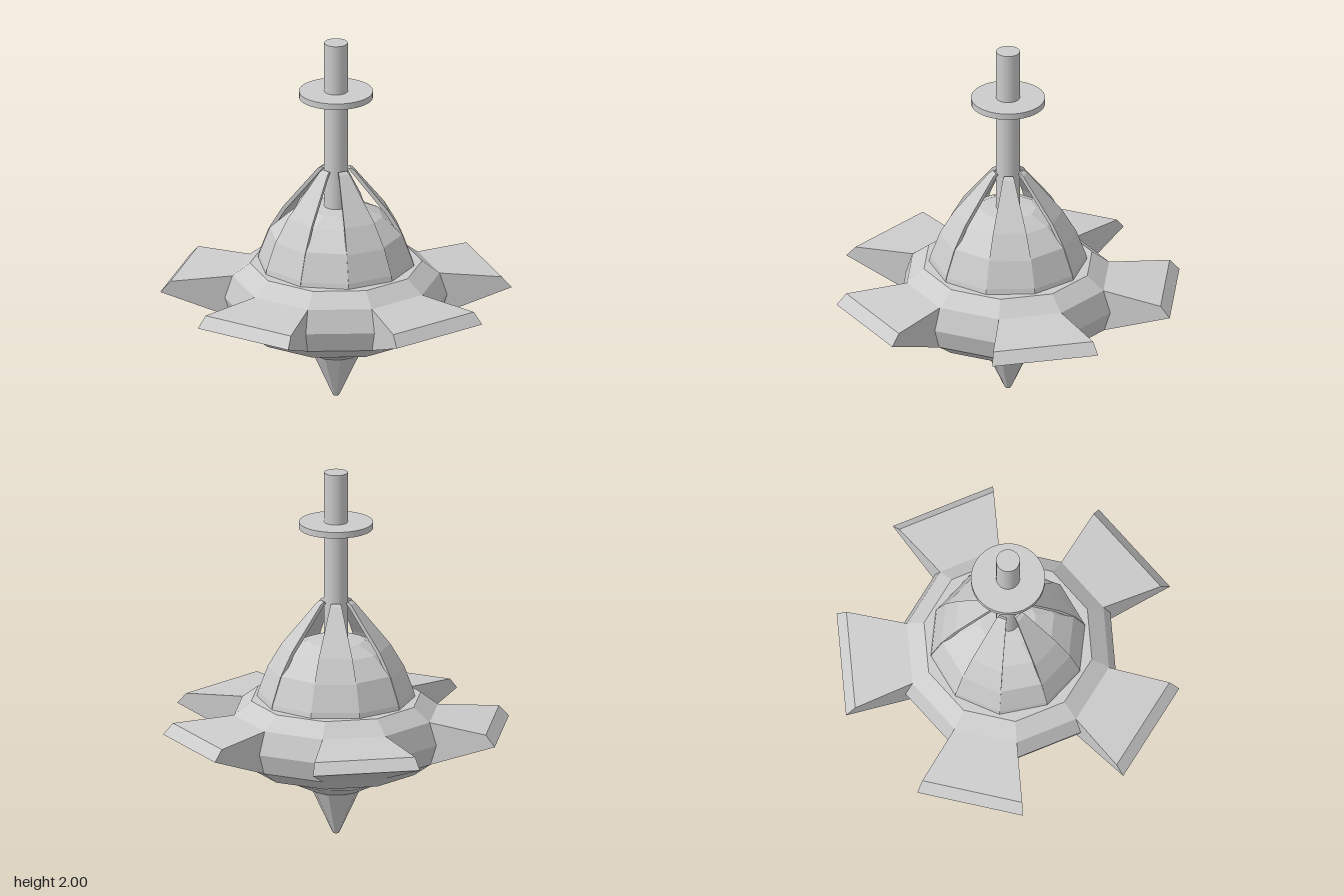
import * as THREE from 'three';

const rad = THREE.MathUtils.degToRad;
const flat = new THREE.MeshStandardMaterial({ color: 0xcccccc, flatShading: true, side: THREE.DoubleSide });
const smooth = new THREE.MeshStandardMaterial({ color: 0xcccccc });
const points = (profile) => profile.map(([r, y]) => new THREE.Vector2(r, y));

// Faceted solid of revolution, profile as [radius, y] from bottom to top
function faceted(name, profile, startDeg, sides = 10) {
  const mesh = new THREE.Mesh(new THREE.LatheGeometry(points(profile), sides, rad(startDeg)), flat);
  mesh.name = name;
  return mesh;
}

// One decagon side swept from a closed profile, with flat end walls
function wedge(name, profile, startDeg) {
  const group = new THREE.Group();
  group.name = name;
  const loop = points([...profile, profile[0]]);
  group.add(new THREE.Mesh(new THREE.LatheGeometry(loop, 1, rad(startDeg), rad(36)), flat));
  for (const deg of [startDeg, startDeg + 36]) {
    const wall = new THREE.Mesh(new THREE.ShapeGeometry(new THREE.Shape(points(profile))), flat);
    wall.rotation.y = rad(deg - 90);
    group.add(wall);
  }
  group.children.forEach((m, i) => { m.name = name + (i ? 'EndWall' : 'Shell'); });
  return group;
}

function cylinder(name, radius, y0, y1) {
  const mesh = new THREE.Mesh(new THREE.CylinderGeometry(radius, radius, y1 - y0, 32), smooth);
  mesh.position.y = (y0 + y1) / 2;
  mesh.name = name;
  return mesh;
}

export function createModel() {
  const model = new THREE.Group();
  model.name = 'spinningTop';

  // Pointed base seated in a recess under the ring
  model.add(faceted('tip', [
    [0, 0], [0.015, 0], [0.022, 0.012], [0.13, 0.245], [0.25, 0.305], [0.31, 0.38], [0.31, 0.45],
  ], 18));

  // Ten-sided ring
  model.add(faceted('ring', [
    [0, 0.45], [0.33, 0.45], [0.33, 0.38], [0.46, 0.38], [0.555, 0.45],
    [0.59, 0.56], [0.55, 0.683], [0.457, 0.755], [0, 0.755],
  ], 29));

  // Dome
  model.add(faceted('dome', [
    [0.418, 0.75], [0.412, 0.78], [0.355, 0.93], [0.25, 1.025], [0.15, 1.07], [0, 1.08],
  ], 18));

  // Five blades on alternate ring sides, five claws on alternate dome sides
  const blade = [[0.46, 0.45], [0.555, 0.45], [0.933, 0.597], [0.88, 0.657], [0.55, 0.683], [0.46, 0.683]];
  const claw = [
    [0.4, 0.757], [0.419, 0.757], [0.414, 0.785], [0.362, 0.925], [0.288, 1.05], [0.1, 1.28],
    [0.08, 1.292], [0.066, 1.285], [0.085, 1.265], [0.268, 1.04], [0.342, 0.92], [0.395, 0.785],
  ];
  for (let i = 0; i < 5; i++) {
    model.add(wedge('blade', blade, 65 + 72 * i));
    model.add(wedge('claw', claw, 54 + 72 * i));
  }

  // Spindle with its collar
  model.add(cylinder('spindle', 0.063, 1.04, 2));
  model.add(cylinder('collar', 0.197, 1.692, 1.726));
  return model;
}
